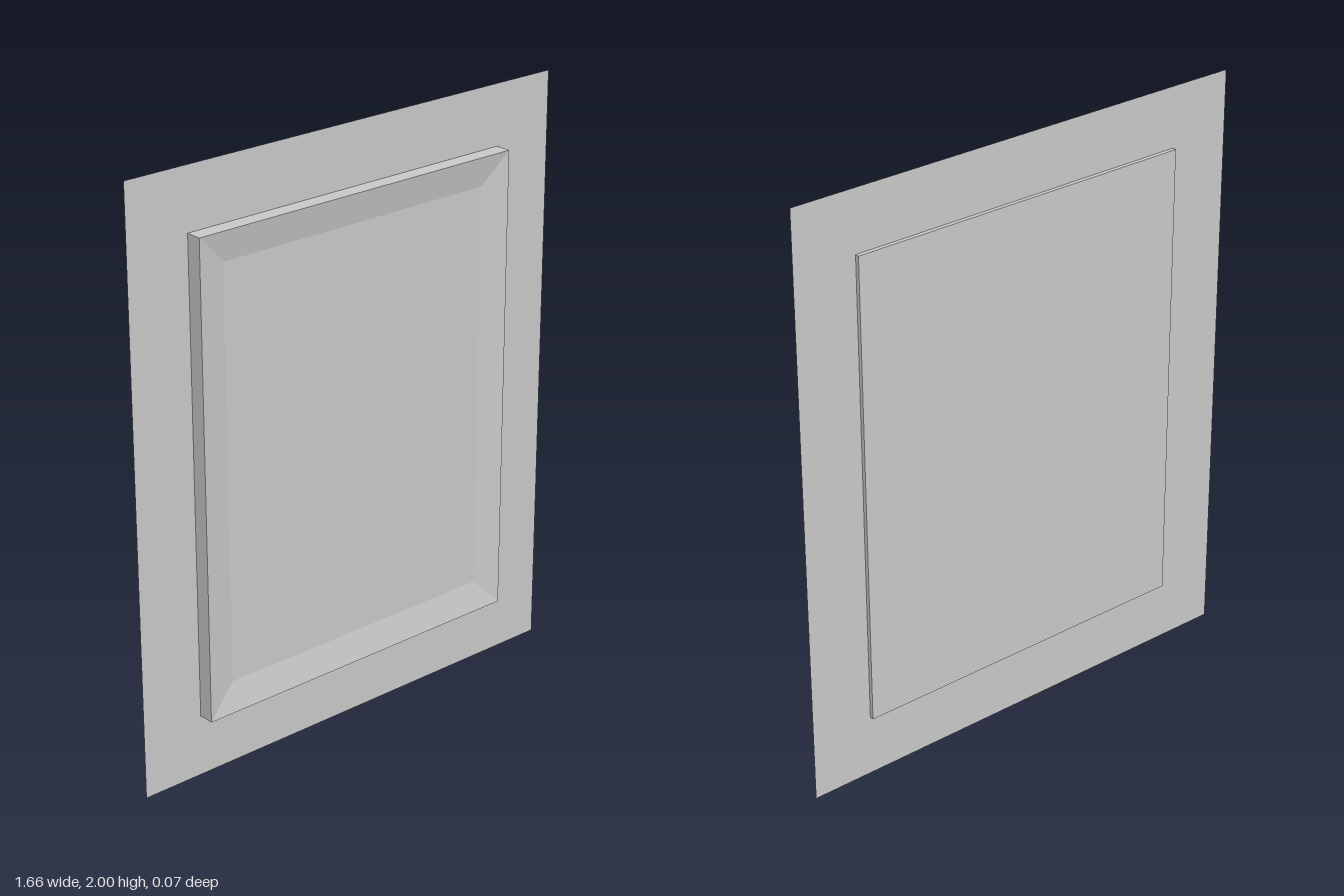
import * as THREE from 'three';

const CENTRE_Y = 1;

// Closed rectangular loft from back to front; each section is [halfWidth, halfHeight, z]
function rectLoft(sections) {
  const positions = [];
  const index = [];
  for (const [w, h, z] of sections) {
    positions.push(-w, -h, z, w, -h, z, w, h, z, -w, h, z);
  }
  for (let s = 0; s < sections.length - 1; s++) {
    for (let i = 0; i < 4; i++) {
      const a = s * 4 + i;
      const b = s * 4 + (i + 1) % 4;
      index.push(a, b, b + 4, a, b + 4, a + 4);
    }
  }
  const f = (sections.length - 1) * 4;
  index.push(0, 2, 1, 0, 3, 2, f, f + 1, f + 2, f, f + 2, f + 3);

  const indexed = new THREE.BufferGeometry();
  indexed.setAttribute('position', new THREE.Float32BufferAttribute(positions, 3));
  indexed.setIndex(index);
  const geometry = indexed.toNonIndexed();
  geometry.computeVertexNormals();
  return geometry;
}

export function createModel() {
  const model = new THREE.Group();
  model.name = 'wallPanel';

  // Thin flat sheet surrounding the panel
  const sheet = new THREE.Mesh(
    new THREE.PlaneGeometry(1.66, 2),
    new THREE.MeshStandardMaterial({ color: 0xcccccc, side: THREE.DoubleSide })
  );
  sheet.name = 'backingSheet';
  sheet.position.set(0, CENTRE_Y, -0.02);
  model.add(sheet);

  // Raised panel whose front slopes in from the rim to a shallow flat field
  const panel = new THREE.Mesh(
    rectLoft([
      [0.612, 0.793, -0.034],
      [0.612, 0.793, 0.034],
      [0.513, 0.692, 0.017],
    ]),
    new THREE.MeshStandardMaterial({ color: 0xcccccc, flatShading: true })
  );
  panel.name = 'recessedPanel';
  panel.position.y = CENTRE_Y + 0.002;
  model.add(panel);

  return model;
}
